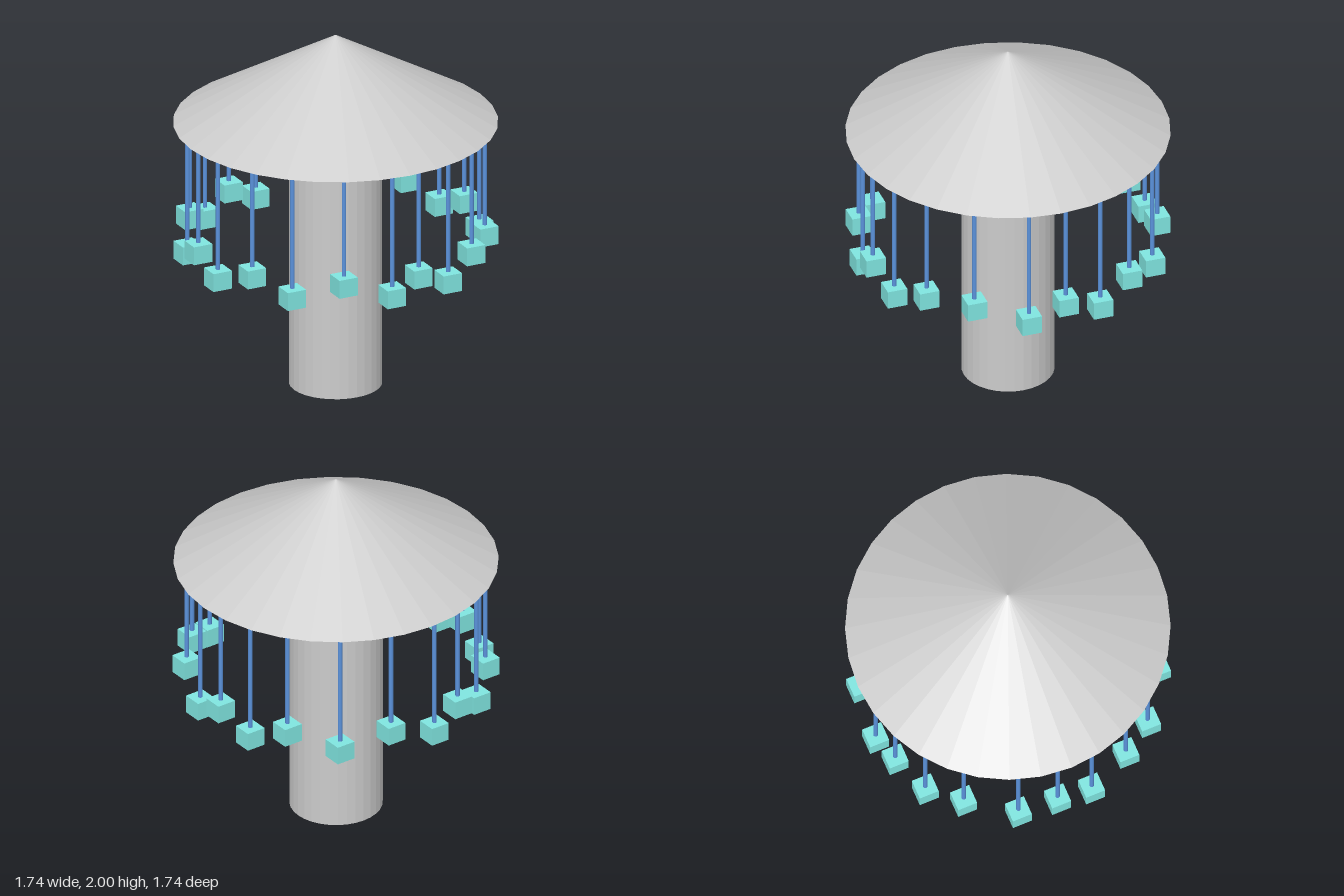
import * as THREE from 'three';

export function createModel() {
  const model = new THREE.Group();
  const grey = new THREE.MeshStandardMaterial({ color: 0xcccccc, flatShading: true });
  const blue = new THREE.MeshStandardMaterial({ color: 0x5b93dd });
  const aqua = new THREE.MeshStandardMaterial({ color: 0x80e5e0 });

  function add(parent, name, geometry, material, x, y, z) {
    const mesh = new THREE.Mesh(geometry, material);
    mesh.name = name;
    mesh.position.set(x, y, z);
    parent.add(mesh);
  }

  const roofBase = 1.5;

  // Central column and conical roof
  add(model, 'column', new THREE.CylinderGeometry(0.25, 0.25, roofBase, 32), grey, 0, roofBase / 2, 0);
  add(model, 'roof', new THREE.ConeGeometry(0.87, 0.5, 32), grey, 0, roofBase + 0.25, 0);

  // Hanging seats: slightly uneven angles in degrees from the front towards +x,
  // alternating between a high and a low level
  const angles = [58, 79, 93.6, 109, 125, 145.5, 165.5, 185, 198.2, 213.5, 229.8,
    251, 266.4, 281, 299, 316, 336, 355, 366.5, 381.5, 398];
  const ringRadius = 0.8;
  const seatGeometry = new THREE.BoxGeometry(0.11, 0.103, 0.11);

  angles.forEach((degrees, i) => {
    const a = THREE.MathUtils.degToRad(degrees);
    const seatY = i % 2 ? 0.798 : 0.882;
    const length = roofBase - seatY;
    const swing = new THREE.Group();
    swing.name = 'swing';
    swing.position.set(ringRadius * Math.sin(a), 0, ringRadius * Math.cos(a));
    add(swing, 'rod', new THREE.CylinderGeometry(0.0125, 0.0125, length, 8), blue, 0, seatY + length / 2, 0);
    add(swing, 'seat', seatGeometry, aqua, 0, seatY, 0);
    model.add(swing);
  });

  return model;
}
